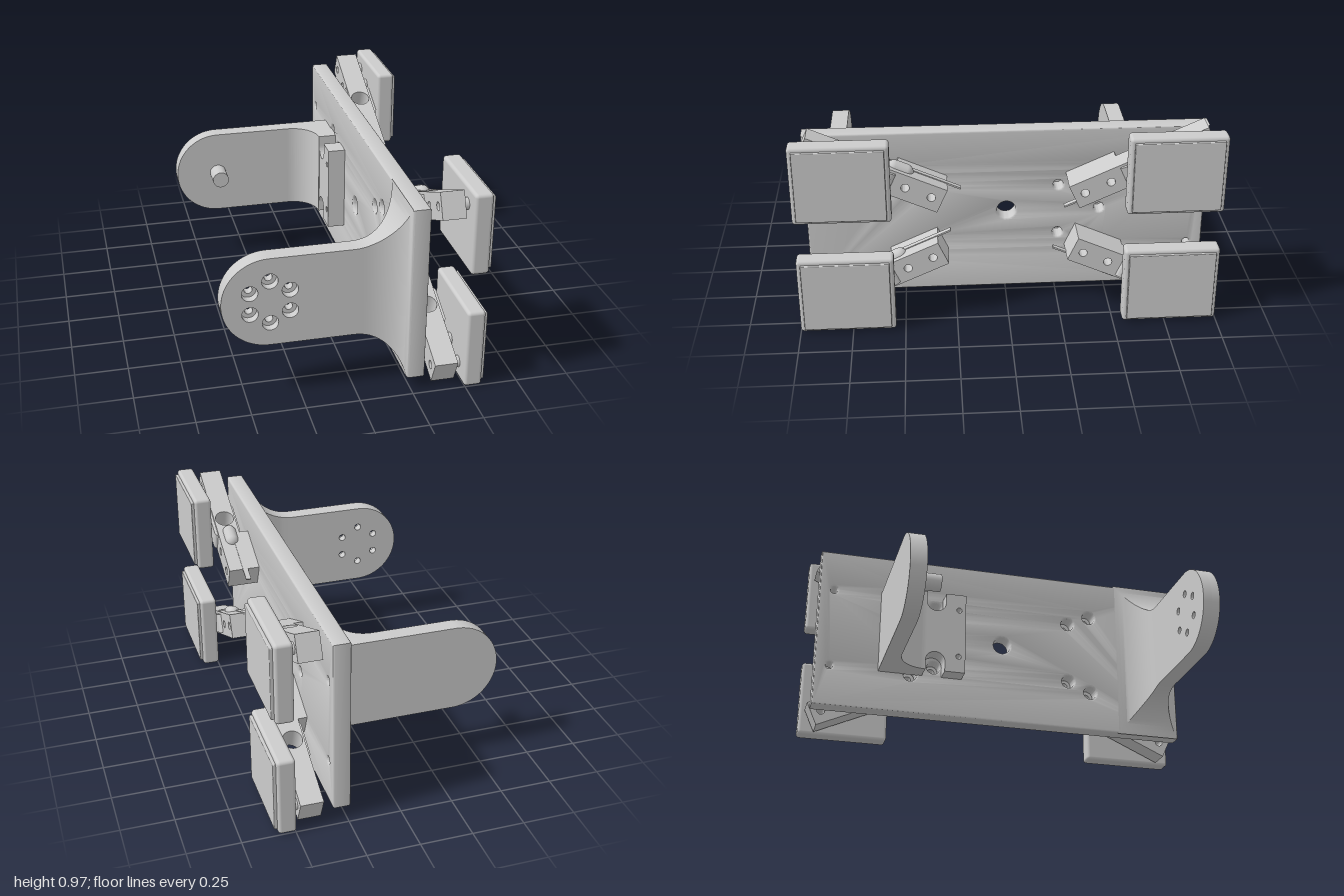
import * as THREE from 'three';
import { toCreasedNormals } from 'three/addons/utils/BufferGeometryUtils.js';
import { RoundedBoxGeometry } from 'three/addons/geometries/RoundedBoxGeometry.js';

const grey = new THREE.MeshStandardMaterial({ color: 0xcccccc });

function add(parent, name, geo, x = 0, y = 0, z = 0) {
  const mesh = new THREE.Mesh(geo, grey);
  mesh.name = name;
  mesh.position.set(x, y, z);
  parent.add(mesh);
  return mesh;
}

function rect(x0, x1, y0, y1) {
  return new THREE.Shape([[x0, y0], [x1, y0], [x1, y1], [x0, y1]].map(p => new THREE.Vector2(...p)));
}

function drill(shape, x, y, r) {
  shape.holes.push(new THREE.Path().absarc(x, y, r, 0, Math.PI * 2, true));
}

function extrude(shape, depth, bevel = 0) {
  const geo = new THREE.ExtrudeGeometry(shape, {
    depth: depth - 2 * bevel, curveSegments: 20, bevelEnabled: bevel > 0,
    bevelSize: bevel, bevelThickness: bevel, bevelOffset: -bevel, bevelSegments: 3,
  });
  geo.translate(0, 0, bevel);
  return toCreasedNormals(geo, 0.6);
}

// Shape drawn in (-z, y), extruded along +x
const alongX = (shape, depth, bevel) => extrude(shape, depth, bevel).rotateY(Math.PI / 2);
// Shape drawn in (x, -z), extruded along +y
const alongY = (shape, depth) => extrude(shape, depth).rotateX(-Math.PI / 2);

const ARM = 0.2175, TILT = 0.423;

// Tongue with a round end at -x
function tongue(xEnd, holeRadius) {
  const s = new THREE.Shape();
  s.moveTo(xEnd, -ARM);
  s.lineTo(xEnd, ARM);
  s.lineTo(-0.385, ARM);
  s.absarc(-0.385, 0, ARM, Math.PI / 2, Math.PI * 1.5, false);
  if (holeRadius) {
    for (let i = 0; i < 6; i++) {
      const a = Math.PI / 2 + i * Math.PI / 3;
      drill(s, -0.382 + 0.105 * Math.cos(a), 0.105 * Math.sin(a), holeRadius);
    }
  }
  return s;
}

// Front arm root: rectangles that swell towards the plate
function flareGeometry() {
  const n = 18, pos = [], idx = [];
  for (let i = 0; i <= n; i++) {
    const x = 0.235 * Math.sin(i / n * Math.PI / 2 * 0.89);
    const k = 1 - Math.sqrt(1 - (x / 0.235) ** 2);
    const u = Math.min(1, Math.max(0, (x - 0.05) / 0.185));
    const q = 1 - Math.sqrt(1 - u * u);
    const h = ARM + 0.255 * k, zi = 0.78 - 0.19 * q, zo = 0.865 + 0.11 * q;
    pos.push(x, -h, zi, x, -h, zo, x, h, zo, x, h, zi);
    if (i < n) {
      for (let j = 0; j < 4; j++) {
        const a = i * 4 + j, b = i * 4 + (j + 1) % 4;
        idx.push(a, a + 4, b, b, a + 4, b + 4);
      }
    }
  }
  const geo = new THREE.BufferGeometry();
  geo.setAttribute('position', new THREE.Float32BufferAttribute(pos, 3));
  // corners run clockwise seen from +x, so flip to face outward
  for (let i = 0; i < idx.length; i += 3) [idx[i + 1], idx[i + 2]] = [idx[i + 2], idx[i + 1]];
  const e = new THREE.Vector3(), f = new THREE.Vector3(), p = k => new THREE.Vector3().fromArray(pos, idx[k] * 3);
  e.subVectors(p(1), p(0)); f.subVectors(p(2), p(0));
  if (e.cross(f).y > 0) for (let i = 0; i < idx.length; i += 3) [idx[i + 1], idx[i + 2]] = [idx[i + 2], idx[i + 1]];
  geo.setIndex(idx);
  return toCreasedNormals(geo, 0.6);
}

// Tilted beam; local z runs from the inner to the outer end
function beam() {
  const g = new THREE.Group();
  g.name = 'sensorBeam';
  const w = 0.0625;
  const inner = rect(-0.25, 0, -w, w);
  drill(inner, -0.055, 0, 0.02);
  drill(inner, -0.187, 0, 0.02);
  add(g, 'beamMount', alongX(inner, 0.155), 0.315);
  const outer = rect(-0.7, -0.45, -w, w);
  drill(outer, -0.52, 0, 0.02);
  drill(outer, -0.65, 0, 0.02);
  add(g, 'beamEnd', alongX(outer, 0.11), 0.36);
  const core = rect(0.36, 0.47, -0.45, -0.25);
  drill(core, 0.415, -0.355, 0.047);
  add(g, 'beamCore', alongY(core, 2 * w), 0, -w);

  // Rounded sleeve around the cross hole
  const sleeve = new THREE.Shape();
  sleeve.moveTo(0.38, -0.46);
  sleeve.lineTo(0.455, -0.46);
  sleeve.quadraticCurveTo(0.485, -0.46, 0.485, -0.43);
  sleeve.lineTo(0.485, -0.28);
  sleeve.quadraticCurveTo(0.485, -0.25, 0.455, -0.25);
  sleeve.lineTo(0.38, -0.25);
  sleeve.quadraticCurveTo(0.35, -0.25, 0.35, -0.28);
  sleeve.lineTo(0.35, -0.43);
  sleeve.quadraticCurveTo(0.35, -0.46, 0.38, -0.46);
  drill(sleeve, 0.415, -0.355, 0.047);
  add(g, 'beamSleeve', alongY(sleeve, 0.1), 0, -0.05);

  // Cable and its seal
  add(g, 'cable', new THREE.BoxGeometry(0.026, 0.008, 0.37), 0.388, w, 0.115);
  const seal = new THREE.CapsuleGeometry(0.035, 0.06, 6, 16).rotateX(Math.PI / 2);
  add(g, 'cableSeal', seal, 0.41, w - 0.008, 0.235);
  for (const s of [0.52, 0.65]) {
    add(g, 'standoff', new THREE.CylinderGeometry(0.028, 0.028, 0.04, 24).rotateZ(Math.PI / 2), 0.483, 0, s);
  }
  return g;
}

export function createModel() {
  const root = new THREE.Group();
  root.name = 'padBracket';
  const body = new THREE.Group();
  body.name = 'body';
  body.position.y = 0.488;
  root.add(body);

  // Main plate with its holes
  const plate = rect(-0.96, 0.965, -0.425, 0.425);
  drill(plate, 0, 0, 0.045);
  drill(plate, 0.45, 0, 0.024);
  for (const s of [1, -1]) {
    drill(plate, 0.25, s * 0.13, 0.024);
    drill(plate, 0.89, s * 0.21, 0.018);
    for (const e of [1, -1]) {
      drill(plate, e * 0.36, s * 0.165, 0.034);
      drill(plate, e * 0.48, s * 0.217, 0.034);
    }
  }
  add(body, 'mainPlate', alongX(plate, 0.085, 0.01), 0.23);

  // Front arm: counterbored tongue plus flared root
  add(body, 'frontArmInner', extrude(tongue(0, 0.018), 0.045), 0, 0, 0.78);
  add(body, 'frontArmOuter', extrude(tongue(0, 0.037), 0.04), 0, 0, 0.825);
  add(body, 'frontArmFlare', flareGeometry());

  // Back arm with peg, fillet and slotted mounting pad
  add(body, 'backArm', extrude(tongue(0.235), 0.08), 0, 0, -0.645);
  add(body, 'peg', new THREE.CylinderGeometry(0.042, 0.042, 0.11, 32).rotateX(Math.PI / 2), -0.385, 0, -0.515);
  const fillet = new THREE.Shape();
  fillet.moveTo(0, 0.57);
  fillet.lineTo(0, 0.565);
  fillet.absellipse(0, 0.42, 0.14, 0.145, Math.PI / 2, 0, true);
  fillet.lineTo(0.235, 0.42);
  fillet.lineTo(0.235, 0.57);
  add(body, 'backArmFillet', alongY(fillet, 2 * ARM), 0, -ARM);
  const pad = new THREE.Shape();
  pad.moveTo(0.215, -ARM);
  pad.lineTo(0.32, -ARM);
  pad.lineTo(0.32, -0.165);
  pad.absarc(0.37, -0.165, 0.05, Math.PI, 0, true);
  pad.lineTo(0.42, 0.165);
  pad.absarc(0.37, 0.165, 0.05, 0, -Math.PI, true);
  pad.lineTo(0.32, ARM);
  pad.lineTo(0.215, ARM);
  for (const s of [1, -1]) drill(pad, 0.25, s * 0.13, 0.014);
  add(body, 'mountingPad', alongX(pad, 0.09), 0.143);

  // Two beams with square pads per end; the back pair is the front pair turned about x
  for (const turn of [0, Math.PI]) {
    const end = new THREE.Group();
    end.name = turn ? 'backPads' : 'frontPads';
    end.rotation.x = turn;
    body.add(end);
    for (const s of [1, -1]) {
      const b = beam();
      b.position.set(0, s * 0.14, 0.31);
      b.rotation.x = -s * TILT;
      end.add(b);
      add(end, 'squarePad', new RoundedBoxGeometry(0.085, 0.39, 0.455, 4, 0.016), 0.5375, s * 0.292, 0.7725);
      add(end, 'padFace', new RoundedBoxGeometry(0.03, 0.35, 0.415, 2, 0.004), 0.58, s * 0.292, 0.7725);
    }
  }
  return root;
}
